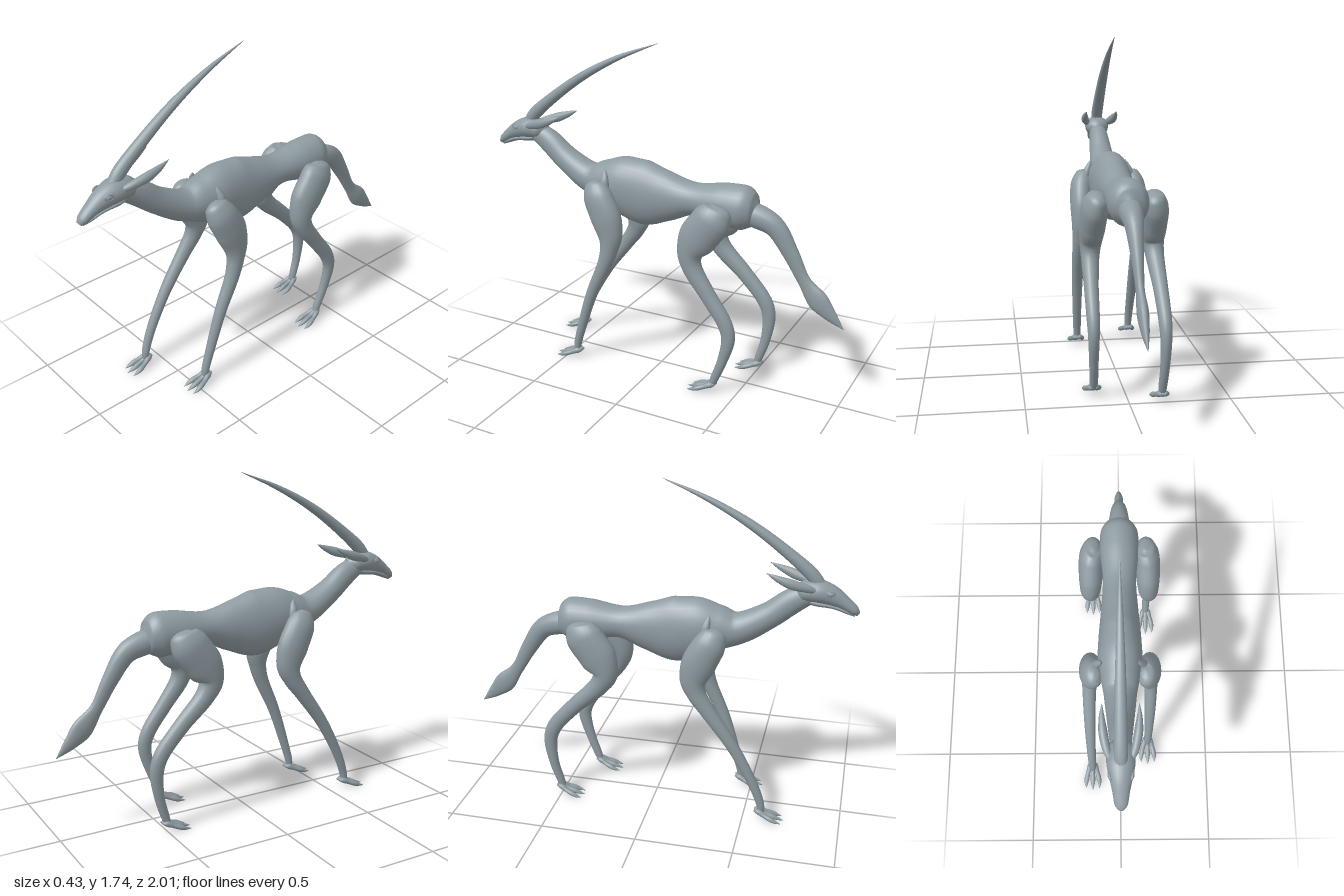
import * as THREE from 'three';

const hide = new THREE.MeshStandardMaterial({ color: 0x8e9ba1 });
hide.name = 'slate grey hide';

// Smooth closed skin over elliptical sections: [x, y, z, side radius, depth radius]
function loft(name, sections, sides = 20, perSpan = 6) {
  const path = new THREE.CatmullRomCurve3(sections.map(s => new THREE.Vector3(s[0], s[1], s[2])));
  const size = new THREE.CatmullRomCurve3(sections.map(s => new THREE.Vector3(s[3], s[4], 0)));
  const rows = (sections.length - 1) * perSpan;
  const pos = [], index = [];
  const xAxis = new THREE.Vector3(1, 0, 0);
  for (let i = 0; i <= rows; i++) {
    const t = i / rows;
    const c = path.getPoint(t), r = size.getPoint(t), dir = path.getTangent(t);
    const up = new THREE.Vector3().crossVectors(dir, xAxis).normalize();
    const side = new THREE.Vector3().crossVectors(up, dir);
    for (let j = 0; j < sides; j++) {
      const a = (j / sides) * Math.PI * 2;
      const p = c.clone()
        .addScaledVector(side, Math.cos(a) * Math.max(r.x, 0.001))
        .addScaledVector(up, Math.sin(a) * Math.max(r.y, 0.001));
      pos.push(p.x, p.y, p.z);
      if (i < rows) {
        const k = (j + 1) % sides, A = i * sides + j, B = i * sides + k;
        index.push(A, B, A + sides, B, B + sides, A + sides);
      }
    }
  }
  // end caps
  for (const [row, flip] of [[0, true], [rows, false]]) {
    const c = path.getPoint(row / rows), m = pos.length / 3;
    pos.push(c.x, c.y, c.z);
    for (let j = 0; j < sides; j++) {
      const a = row * sides + j, b = row * sides + (j + 1) % sides;
      if (flip) index.push(m, b, a); else index.push(m, a, b);
    }
  }
  const g = new THREE.BufferGeometry();
  g.setAttribute('position', new THREE.Float32BufferAttribute(pos, 3));
  g.setIndex(index);
  g.computeVertexNormals();
  const mesh = new THREE.Mesh(g, hide);
  mesh.name = name;
  return mesh;
}

// Sections on the centre line: [z, y, side radius, depth radius]
const midline = (name, rows, sides) => loft(name, rows.map(([z, y, rx, ry]) => [0, y, z, rx, ry]), sides);

// Leg sections: [x, y, z, side radius, depth radius], plus a three-toed foot at the ankle
function leg(name, s, rows, ankleZ) {
  const g = new THREE.Group();
  g.name = name;
  g.add(loft('limb', rows.map(([x, ...rest]) => [s * x, ...rest])));
  for (const k of [-1, 0, 1]) {
    const x = s * 0.16, len = k ? 0.92 : 1;
    g.add(loft('toe', [
      [x + k * 0.010, 0.050, ankleZ - 0.015, 0.006, 0.006],
      [x + k * 0.016, 0.046, ankleZ + 0.01, 0.015, 0.016],
      [x + k * 0.026, 0.032, ankleZ + 0.045 * len, 0.012, 0.012],
      [x + k * 0.034, 0.020, ankleZ + 0.08 * len, 0.014, 0.013],
      [x + k * 0.038, 0.010, ankleZ + 0.11 * len, 0.010, 0.008],
      [x + k * 0.038, 0.003, ankleZ + 0.14 * len, 0.001, 0.001],
    ], 10, 4));
  }
  return g;
}

export function createModel() {
  const model = new THREE.Group();
  model.name = 'horned antelope';

  // Trunk and neck
  model.add(midline('bodyAndNeck', [
    [-0.535, 0.97, 0.02, 0.03], [-0.51, 0.97, 0.075, 0.085], [-0.45, 0.975, 0.1, 0.115],
    [-0.35, 0.978, 0.1, 0.108], [-0.2, 0.98, 0.086, 0.083], [-0.05, 0.97, 0.094, 0.13],
    [0.1, 0.968, 0.107, 0.174], [0.22, 0.99, 0.112, 0.158], [0.32, 0.995, 0.1, 0.122],
    [0.42, 1.003, 0.082, 0.083], [0.57, 1.085, 0.066, 0.067], [0.68, 1.17, 0.054, 0.064],
    [0.77, 1.22, 0.045, 0.05],
  ], 28));

  // Head and lower jaw
  model.add(midline('head', [
    [0.69, 1.225, 0.02, 0.02], [0.73, 1.228, 0.06, 0.05], [0.80, 1.232, 0.067, 0.058],
    [0.87, 1.213, 0.054, 0.05], [0.93, 1.183, 0.04, 0.034], [0.98, 1.148, 0.031, 0.024],
    [1.0, 1.13, 0.015, 0.012],
  ], 24));
  model.add(midline('lowerJaw', [
    [0.74, 1.19, 0.03, 0.02], [0.80, 1.178, 0.045, 0.02], [0.88, 1.165, 0.036, 0.015],
    [0.95, 1.139, 0.026, 0.012], [0.985, 1.121, 0.01, 0.006],
  ]));

  // Single sweeping horn
  model.add(midline('horn', [
    [0.81, 1.26, 0.03, 0.03], [0.77, 1.31, 0.032, 0.034], [0.67, 1.395, 0.03, 0.03],
    [0.465, 1.54, 0.024, 0.023], [0.25, 1.655, 0.014, 0.014], [0.025, 1.744, 0.001, 0.001],
  ]));

  // Tail with tuft
  model.add(midline('tail', [
    [-0.44, 0.96, 0.06, 0.06], [-0.52, 0.945, 0.058, 0.062], [-0.62, 0.905, 0.045, 0.054],
    [-0.71, 0.78, 0.03, 0.042], [-0.785, 0.65, 0.02, 0.034], [-0.86, 0.56, 0.026, 0.055],
    [-0.93, 0.492, 0.018, 0.034], [-1.0, 0.432, 0.001, 0.001],
  ]));

  for (const s of [1, -1]) {
    const side = s > 0 ? 'left' : 'right';

    // Ear
    model.add(loft(side + 'Ear', [
      [s * 0.045, 1.245, 0.80, 0.012, 0.012], [s * 0.065, 1.262, 0.75, 0.019, 0.02],
      [s * 0.08, 1.282, 0.68, 0.021, 0.025], [s * 0.086, 1.308, 0.61, 0.013, 0.016],
      [s * 0.085, 1.332, 0.555, 0.001, 0.001],
    ], 14));

    // Eye with raised lid
    const eye = new THREE.Group();
    eye.name = side + 'Eye';
    const ball = new THREE.Mesh(new THREE.SphereGeometry(0.018, 16, 12), hide);
    ball.name = 'eyeball';
    ball.scale.set(0.5, 0.7, 1);
    const lid = new THREE.Mesh(new THREE.TorusGeometry(0.02, 0.005, 8, 24), hide);
    lid.name = 'eyelid';
    lid.rotation.y = Math.PI / 2;
    lid.scale.y = 0.7;
    eye.add(ball, lid);
    eye.position.set(s * 0.052, 1.236, 0.865);
    eye.rotation.y = -s * 0.2;
    model.add(eye);

    // Shoulder spur
    model.add(loft(side + 'ShoulderSpur', [
      [s * 0.125, 0.96, 0.27, 0.02, 0.025], [s * 0.115, 1.03, 0.272, 0.02, 0.022],
      [s * 0.1, 1.07, 0.28, 0.012, 0.014], [s * 0.094, 1.092, 0.285, 0.002, 0.002],
    ], 12));

    // Front leg: the right one reaches further forward
    const f = s > 0 ? 0 : 1;
    model.add(leg(side + 'FrontLeg', s, [
      [0.115, 1.03, 0.325, 0.015, 0.02], [0.125, 1.01, 0.32, 0.045, 0.06],
      [0.143, 0.95, 0.295, 0.06, 0.083], [0.152, 0.86, 0.25, 0.058, 0.088],
      [0.155, 0.76, 0.222, 0.05, 0.07], [0.16, 0.69, 0.225 + 0.015 * f, 0.042, 0.05],
      [0.165, 0.6, 0.25 + 0.05 * f, 0.036, 0.04], [0.166, 0.41, 0.335 + 0.1 * f, 0.03, 0.031],
      [0.163, 0.2, 0.405 + 0.143 * f, 0.024, 0.025], [0.16, 0.085, 0.438 + 0.152 * f, 0.021, 0.021],
      [0.16, 0.045, 0.443 + 0.152 * f, 0.018, 0.018],
    ], 0.425 + 0.15 * f));

    // Hind leg: the right one is set further back
    model.add(leg(side + 'HindLeg', s, [
      [0.13, 1.01, -0.38, 0.015, 0.03], [0.135, 0.99, -0.375, 0.05, 0.075],
      [0.147, 0.93, -0.345, 0.065, 0.1], [0.152, 0.84, -0.28, 0.064, 0.1],
      [0.156, 0.75, -0.24, 0.055, 0.068], [0.16, 0.68, -0.252 - 0.02 * f, 0.046, 0.052],
      [0.165, 0.545, -0.345 - 0.065 * f, 0.036, 0.042], [0.167, 0.41, -0.44 - 0.085 * f, 0.032, 0.04],
      [0.167, 0.33, -0.462 - 0.088 * f, 0.028, 0.036], [0.164, 0.19, -0.43 - 0.108 * f, 0.023, 0.026],
      [0.16, 0.085, -0.39 - 0.118 * f, 0.021, 0.022], [0.16, 0.045, -0.375 - 0.12 * f, 0.018, 0.018],
    ], -0.38 - 0.13 * f));
  }
  return model;
}
